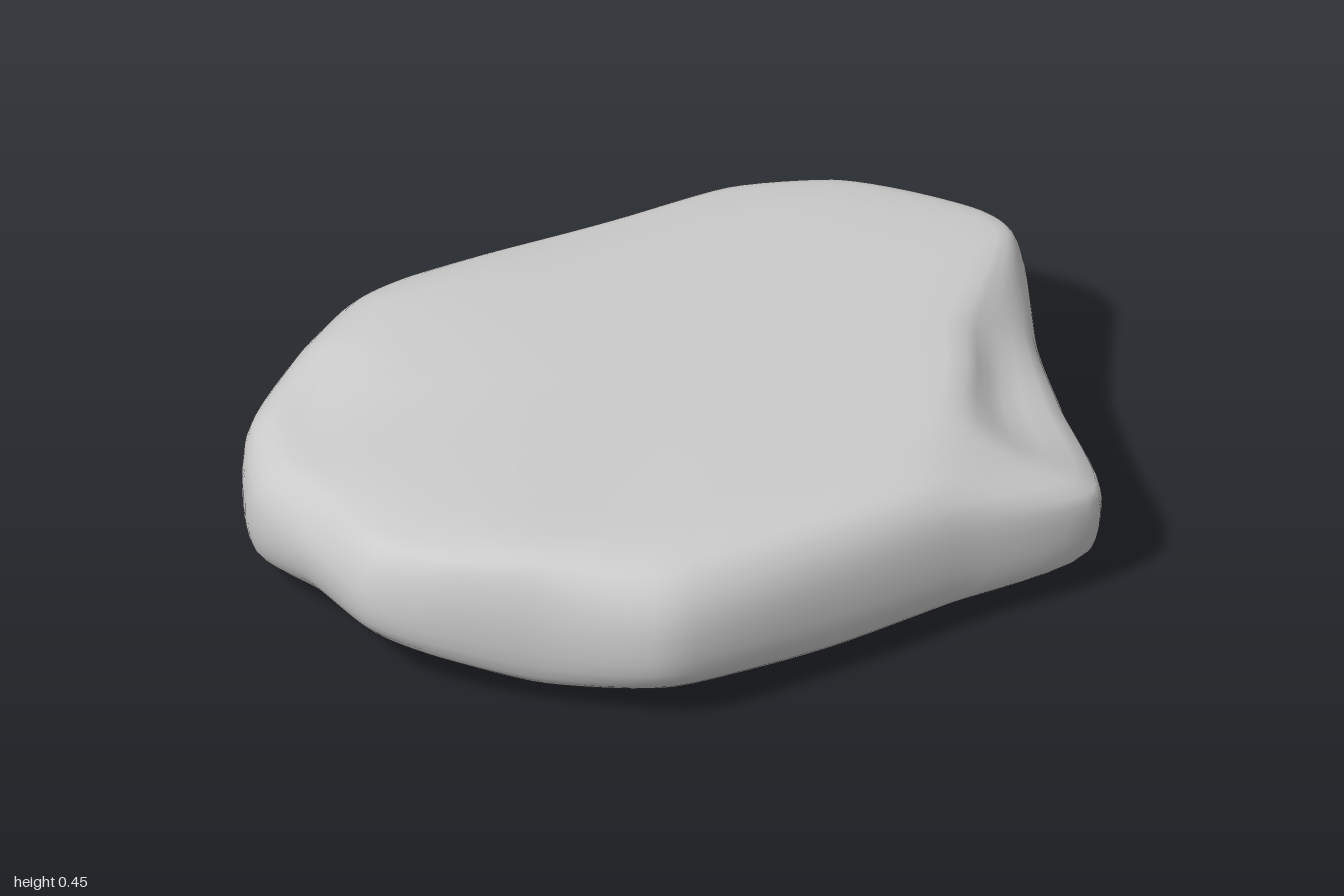
import * as THREE from 'three';

// Rim stations, counter-clockwise from above:
// x, z, shoulder height, top bevel width, lower wall height, underside bevel width
const RIM = [
  [1.0, -0.22, 0.37, 0.08, 0.16, 0.16],
  [0.97, -0.34, 0.38, 0.08, 0.15, 0.22],
  [0.85, -0.49, 0.38, 0.10, 0.14, 0.25],
  [0.71, -0.61, 0.38, 0.11, 0.14, 0.24],
  [0.47, -0.70, 0.38, 0.12, 0.13, 0.22],
  [0.15, -0.69, 0.39, 0.09, 0.13, 0.19],
  [-0.18, -0.69, 0.38, 0.07, 0.11, 0.17],
  [-0.41, -0.715, 0.34, 0.12, 0.09, 0.14],
  [-0.56, -0.70, 0.32, 0.15, 0.09, 0.13],
  [-0.73, -0.58, 0.34, 0.15, 0.09, 0.12],
  [-0.92, -0.41, 0.33, 0.15, 0.09, 0.10],
  [-1.0, -0.22, 0.30, 0.17, 0.11, 0.12],
  [-0.97, 0.02, 0.32, 0.15, 0.17, 0.20],
  [-0.93, 0.25, 0.35, 0.12, 0.18, 0.24],
  [-0.82, 0.38, 0.36, 0.11, 0.16, 0.20],
  [-0.61, 0.53, 0.36, 0.11, 0.12, 0.13],
  [-0.34, 0.71, 0.34, 0.16, 0.14, 0.18],
  [0.1, 0.69, 0.35, 0.14, 0.11, 0.13],
  [0.45, 0.65, 0.34, 0.15, 0.11, 0.11],
  [0.8, 0.62, 0.29, 0.35, 0.12, 0.10],
  [0.86, 0.3, 0.30, 0.23, 0.11, 0.07],
  [0.91, 0.05, 0.31, 0.18, 0.15, 0.10],
];

// Soft round bump, 1 at (cx, cz)
const bump = (x, z, cx, cz, spread) => Math.exp(-((x - cx) ** 2 + (z - cz) ** 2) / spread);

const topHeight = (x, z) =>
  0.452 - 0.014 * x - 0.035 * z * z - 0.12 * Math.max(0, -x - 0.6)
  - 0.055 * bump(x, z, -0.85, -0.35, 0.13) + 0.004 * Math.sin(5 * x + 3 * z);
const bottomHeight = (x, z) =>
  0.003 + 0.065 * Math.max(0, x) + 0.038 * Math.max(0, -x) + 0.015 * Math.max(0, z);

export function createModel() {
  const curve = (a, b, c) => new THREE.CatmullRomCurve3(
    RIM.map((r) => new THREE.Vector3(r[a], r[b], r[c])), true, 'catmullrom', 0.35);
  const outline = curve(0, 1, 2);
  const bevels = curve(3, 4, 5);
  const segments = RIM.length * 6;
  const columns = [];

  for (let j = 0; j < segments; j++) {
    const { x, y: z, z: shoulder } = outline.getPoint(j / segments);
    const { x: topIn, y: low, z: botIn } = bevels.getPoint(j / segments);
    const radius = Math.hypot(x, z);
    const at = (inset) => [x * (1 - inset / radius), z * (1 - inset / radius)];
    const ring = (inset, y) => { const [px, pz] = at(inset); return new THREE.Vector3(px, y, pz); };
    const flat = (inset, scale, height) => {
      const [px, pz] = at(inset);
      return new THREE.Vector3(px * scale, height(px * scale, pz * scale), pz * scale);
    };
    const bottom = flat(botIn, 1, bottomHeight).y;
    const top = flat(topIn, 1, topHeight).y;
    const ripple = 0.008 * Math.sin(j * 0.45);
    // Chipped corner: the bevel becomes a low ledge with a short step above
    const ledge = bump(x, z, 0.86, 0.35, 0.13);

    // Side wall with rounded bevels, from the underside to the top edge
    const wall = new THREE.CatmullRomCurve3([
      ring(botIn, bottom + 0.006),
      ring(botIn * 0.5, bottom + (low - bottom) * 0.45),
      ring(0.02, low),
      ring(0, (low + shoulder) / 2 + ripple),
      ring(0.015, shoulder),
      ring(topIn * (0.45 + 0.2 * ledge), shoulder + (top - shoulder) * (0.7 - 0.35 * ledge)),
      ring(topIn, top - 0.005),
    ]).getPoints(18);

    columns.push([
      ...[0, 0.4, 0.75, 0.94].map((s) => flat(botIn, s, bottomHeight)),
      ...wall,
      ...[0.93, 0.8, 0.6, 0.4, 0.2, 0].map((s) => flat(topIn, s, topHeight)),
    ]);
  }

  // Skin the columns into one closed surface
  const rows = columns[0].length;
  const index = [];
  for (let j = 0; j < segments; j++) {
    const k = (j + 1) % segments;
    for (let i = 0; i < rows - 1; i++) {
      const a = j * rows + i, b = k * rows + i;
      index.push(a, b, b + 1, a, b + 1, a + 1);
    }
  }
  const geometry = new THREE.BufferGeometry().setFromPoints(columns.flat());
  geometry.setIndex(index);
  geometry.computeVertexNormals();
  // The two poles face straight down and up
  for (let j = 0; j < segments; j++) {
    geometry.attributes.normal.setXYZ(j * rows, 0, -1, 0);
    geometry.attributes.normal.setXYZ(j * rows + rows - 1, 0, 1, 0);
  }

  const stone = new THREE.Mesh(geometry, new THREE.MeshStandardMaterial({ color: 0xcccccc }));
  stone.name = 'flatStone';
  const group = new THREE.Group();
  group.name = 'rock';
  group.add(stone);
  return group;
}
